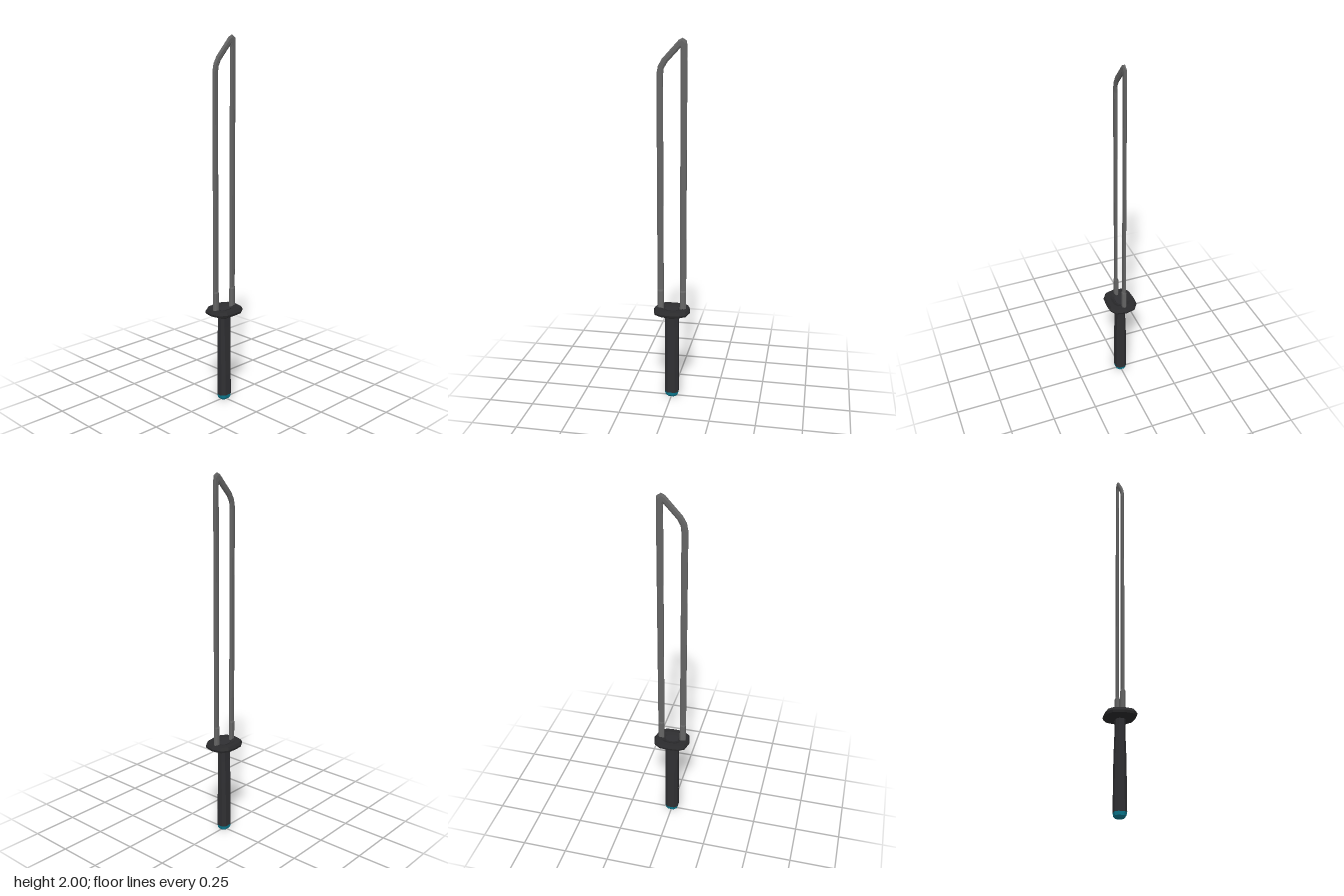
import * as THREE from 'three';

// Skin a list of closed rings (arrays of [x, y, z]) and cap both ends.
function loft(name, color, rings) {
  const pos = [];
  const tri = (a, b, c) => pos.push(...a, ...b, ...c);
  const n = rings[0].length;
  for (let i = 0; i < rings.length - 1; i++) {
    for (let j = 0; j < n; j++) {
      const k = (j + 1) % n;
      const [a, b, c, d] = [rings[i][j], rings[i][k], rings[i + 1][k], rings[i + 1][j]];
      tri(a, b, c);
      tri(a, c, d);
    }
  }
  const first = rings[0], last = rings[rings.length - 1];
  for (let j = 1; j < n - 1; j++) {
    tri(first[0], first[j + 1], first[j]);
    tri(last[0], last[j], last[j + 1]);
  }
  const geo = new THREE.BufferGeometry();
  geo.setAttribute('position', new THREE.Float32BufferAttribute(pos, 3));
  geo.computeVertexNormals();
  const mesh = new THREE.Mesh(geo, new THREE.MeshStandardMaterial({ color, flatShading: true }));
  mesh.name = name;
  return mesh;
}

// Eight-sided grip section with half width w and half depth d.
const gripRing = (y, w, d) => [
  [0.5, 1], [1, 0.55], [1, -0.55], [0.5, -1], [-0.5, -1], [-1, -0.55], [-1, 0.55], [-0.5, 1],
].map(([x, z]) => [x * w, y, z * d]);

// Twelve-sided guard outline.
const guardOutline = [
  [0, 0.103], [0.056, 0.09], [0.08, 0.054], [0.084, 0], [0.08, -0.054], [0.056, -0.09],
  [0, -0.103], [-0.056, -0.09], [-0.08, -0.054], [-0.084, 0], [-0.08, 0.054], [-0.056, 0.09],
];
const guardRing = (y, s) => guardOutline.map(([x, z]) => [x * s, y, z * s]);

// Blade section spanning from the outer to the inner edge, half thickness h.
function bladeRing([oz, oy, iz, iy, h]) {
  const mz = (oz + iz) / 2, my = (oy + iy) / 2;
  return [[1, 0.45], [0.5, 1], [-0.5, 1], [-1, 0.45], [-1, -0.45], [-0.5, -1], [0.5, -1], [1, -0.45]]
    .map(([u, v]) => [v * h, my + u * (oy - my), mz + u * (oz - mz)]);
}

export function createModel() {
  const group = new THREE.Group();

  // Open blade frame: up the front rod, over the slanted tip, down the back rod.
  group.add(loft('bladeFrame', 0x666666, [
    [0.08, 0.515, 0.046, 0.515, 0.012],
    [0.08, 0.635, 0.046, 0.635, 0.012],
    [0.08, 0.645, 0.046, 0.645, 0.008],
    [0.08, 1.82, 0.047, 1.81, 0.008],
    [0.072, 1.86, 0.043, 1.845, 0.008],
    [0.052, 1.895, 0.027, 1.875, 0.008],
    [-0.035, 1.99, -0.038, 1.945, 0.008],
    [-0.055, 2.0, -0.043, 1.95, 0.008],
    [-0.077, 1.985, -0.045, 1.935, 0.008],
    [-0.079, 1.9, -0.045, 1.9, 0.008],
    [-0.079, 0.645, -0.045, 0.645, 0.008],
    [-0.079, 0.635, -0.045, 0.635, 0.012],
    [-0.079, 0.515, -0.045, 0.515, 0.012],
  ].map(bladeRing)));

  // Faceted guard with a shallow dish on top.
  group.add(loft('guard', 0x2c2c2e, [
    [0.5, 0.72], [0.511, 0.96], [0.523, 1], [0.539, 0.9], [0.539, 0.6], [0.529, 0.38],
  ].map((r) => guardRing(...r))));

  // Handle, flaring sideways towards the bottom.
  group.add(loft('handle', 0x303033, [
    [0.028, 0.032, 0.038], [0.15, 0.031, 0.037], [0.3, 0.029, 0.037],
    [0.43, 0.024, 0.037], [0.48, 0.024, 0.037], [0.534, 0.027, 0.037],
  ].map((r) => gripRing(...r))));

  // Coloured end cap.
  group.add(loft('pommelCap', 0x0c7f96, [
    [0, 0.021, 0.025], [0.01, 0.029, 0.034], [0.028, 0.032, 0.038],
  ].map((r) => gripRing(...r))));

  return group;
}
